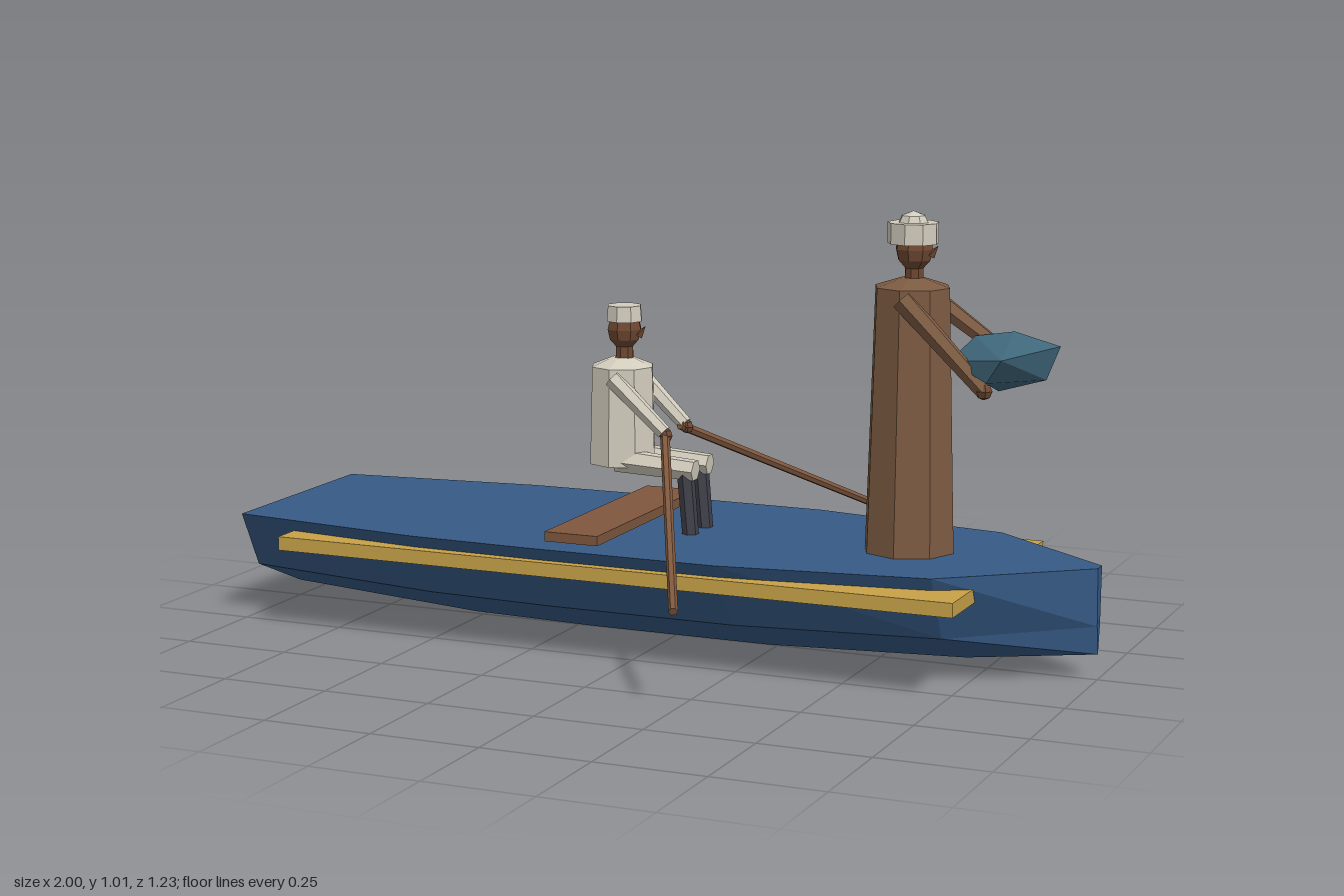
import * as THREE from 'three';
import { ConvexGeometry } from 'three/addons/geometries/ConvexGeometry.js';

const V = (x, y, z) => new THREE.Vector3(x, y, z);

function material(name, color) {
  const m = new THREE.MeshStandardMaterial({ color, flatShading: true });
  m.name = name;
  return m;
}

function add(parent, name, geometry, mat, x = 0, y = 0, z = 0) {
  const mesh = new THREE.Mesh(geometry, mat);
  mesh.name = name;
  mesh.position.set(x, y, z);
  parent.add(mesh);
  return mesh;
}

// Tapered rod between two points
function rod(parent, name, a, b, ra, rb, sides, mat) {
  const d = b.clone().sub(a);
  const mesh = add(parent, name, new THREE.CylinderGeometry(rb, ra, d.length(), sides), mat);
  mesh.position.copy(a).add(b).multiplyScalar(0.5);
  mesh.quaternion.setFromUnitVectors(V(0, 1, 0), d.normalize());
  return mesh;
}

// Faceted hull lofted through sections: x, deck half-width, chine half-width, chine y, keel y
function hullGeometry() {
  const deckY = 0.255;
  const sections = [
    [-1, 0.26, 0.19, 0.12, 0.04],
    [-0.52, 0.318, 0.225, 0.105, 0.008],
    [-0.22, 0.325, 0.23, 0.102, 0.003],
    [0.23, 0.322, 0.23, 0.102, 0.003],
    [0.7, 0.252, 0.175, 0.105, 0.022],
    [1, 0.016, 0.011, 0.125, 0.06],
  ].map(([x, w, c, cy, k]) => [
    [x, deckY, w], [x, cy, c], [x, k, 0], [x, cy, -c], [x, deckY, -w],
  ]);
  const pos = [];
  const tri = (...corners) => corners.forEach((c) => pos.push(...c));
  for (let s = 0; s < sections.length - 1; s++) {
    const a = sections[s], b = sections[s + 1];
    for (let i = 0; i < 5; i++) {
      const j = (i + 1) % 5;
      tri(a[i], a[j], b[j]);
      tri(a[i], b[j], b[i]);
    }
  }
  const stern = sections[0], bow = sections[sections.length - 1];
  for (let i = 1; i < 4; i++) {
    tri(bow[0], bow[i], bow[i + 1]);
    tri(stern[0], stern[i + 1], stern[i]);
  }
  const g = new THREE.BufferGeometry();
  g.setAttribute('position', new THREE.Float32BufferAttribute(pos, 3));
  g.computeVertexNormals();
  return g;
}

// Octagonal body with sloped shoulders
function bodyGeometry(bottomY, topY, bottomR, topR) {
  const profile = [[0, bottomY], [bottomR, bottomY], [topR, topY], [0.025, topY + 0.02], [0, topY + 0.02]];
  return new THREE.LatheGeometry(profile.map(([r, y]) => new THREE.Vector2(r, y)), 8);
}

// Neck, head and nose, facing +x
function head(parent, x, neckY, y, r, skin) {
  add(parent, 'neck', new THREE.CylinderGeometry(0.02, 0.022, y - neckY, 8), skin, x, (y + neckY) / 2, 0);
  add(parent, 'head', new THREE.SphereGeometry(r, 8, 6), skin, x, y, 0).scale.y = 1.12;
  const nose = add(parent, 'nose', new THREE.ConeGeometry(0.011, 0.028, 4), skin, x + r + 0.003, y - 0.002, 0);
  nose.rotation.z = -0.7;
}

export function createModel() {
  const blue = material('hull blue', 0x365a85);
  const gold = material('rail gold', 0xc8a248);
  const wood = material('wood brown', 0x7f573e);
  const robe = material('robe brown', 0x7d5b42);
  const skin = material('skin brown', 0x6e4831);
  const linen = material('linen white', 0xd2ccbd);
  const dark = material('boot grey', 0x41414b);
  const teal = material('cloth teal', 0x40687c);

  const model = new THREE.Group();
  model.name = 'boatWithTwoFigures';

  // Boat
  const boat = new THREE.Group();
  boat.name = 'boat';
  model.add(boat);
  add(boat, 'hull', hullGeometry(), blue);
  add(boat, 'sideRails', new THREE.BoxGeometry(1.635, 0.032, 0.66), gold, -0.043, 0.21, 0);
  add(boat, 'bench', new THREE.BoxGeometry(0.13, 0.022, 0.565), wood, -0.135, 0.275, 0);

  // Seated rower
  const rower = new THREE.Group();
  rower.name = 'rower';
  model.add(rower);
  add(rower, 'torso', bodyGeometry(0.4, 0.625, 0.08, 0.074), linen, -0.135);
  head(rower, -0.13, 0.63, 0.71, 0.041, skin);
  add(rower, 'cap', new THREE.CylinderGeometry(0.04, 0.043, 0.036, 8), linen, -0.13, 0.747, 0);
  for (const s of [1, -1]) {
    rod(rower, 'arm', V(-0.13, 0.605, 0.066 * s), V(-0.005, 0.488, 0.06 * s), 0.021, 0.017, 6, linen);
    add(rower, 'hand', new THREE.SphereGeometry(0.016, 6, 4), skin, 0, 0.482, 0.06 * s);
    rod(rower, 'thigh', V(-0.13, 0.412, 0.04 * s), V(0.065, 0.402, 0.042 * s), 0.029, 0.025, 6, linen);
    rod(rower, 'lowerLeg', V(0.04, 0.4, 0.042 * s), V(0.053, 0.252, 0.042 * s), 0.02, 0.019, 6, dark);
    rod(rower, 'oar', V(-0.01, 0.487, 0.045 * s), V(0.256, 0.22, 0.608 * s), 0.011, 0.01, 6, wood);
  }

  // Standing figure in a long robe
  const stander = new THREE.Group();
  stander.name = 'standingFigure';
  model.add(stander);
  add(stander, 'robe', bodyGeometry(0.255, 0.845, 0.104, 0.086), robe, 0.563);
  head(stander, 0.566, 0.85, 0.928, 0.043, skin);
  add(stander, 'turbanBand', new THREE.CylinderGeometry(0.057, 0.057, 0.046, 9), linen, 0.563, 0.963, 0);
  add(stander, 'turbanTop', new THREE.SphereGeometry(0.038, 8, 4), linen, 0.563, 0.977, 0).scale.y = 0.9;
  const hands = [V(0.75, 0.635, 0.065), V(0.72, 0.715, -0.09)];
  hands.forEach((hand, i) => {
    rod(stander, 'arm', V(0.565, 0.825, i ? -0.075 : 0.075), hand, 0.025, 0.019, 6, robe);
    add(stander, 'hand', new THREE.SphereGeometry(0.02, 6, 4), skin, hand.x, hand.y, hand.z);
  });

  // Faceted bundle of cloth held in front
  const bundle = [
    [0.81, 0.715, 0.135], [0.77, 0.66, 0.112], [0.66, 0.69, 0.03], [0.66, 0.705, -0.21],
    [0.78, 0.705, -0.235], [0.84, 0.7, -0.185], [0.82, 0.663, -0.222], [0.875, 0.718, -0.09],
    [0.77, 0.745, -0.09], [0.85, 0.645, -0.07], [0.74, 0.612, -0.075], [0.69, 0.735, -0.06],
    [0.7, 0.64, -0.16],
  ].map((p) => V(...p));
  add(stander, 'clothBundle', new ConvexGeometry(bundle), teal);

  return model;
}
